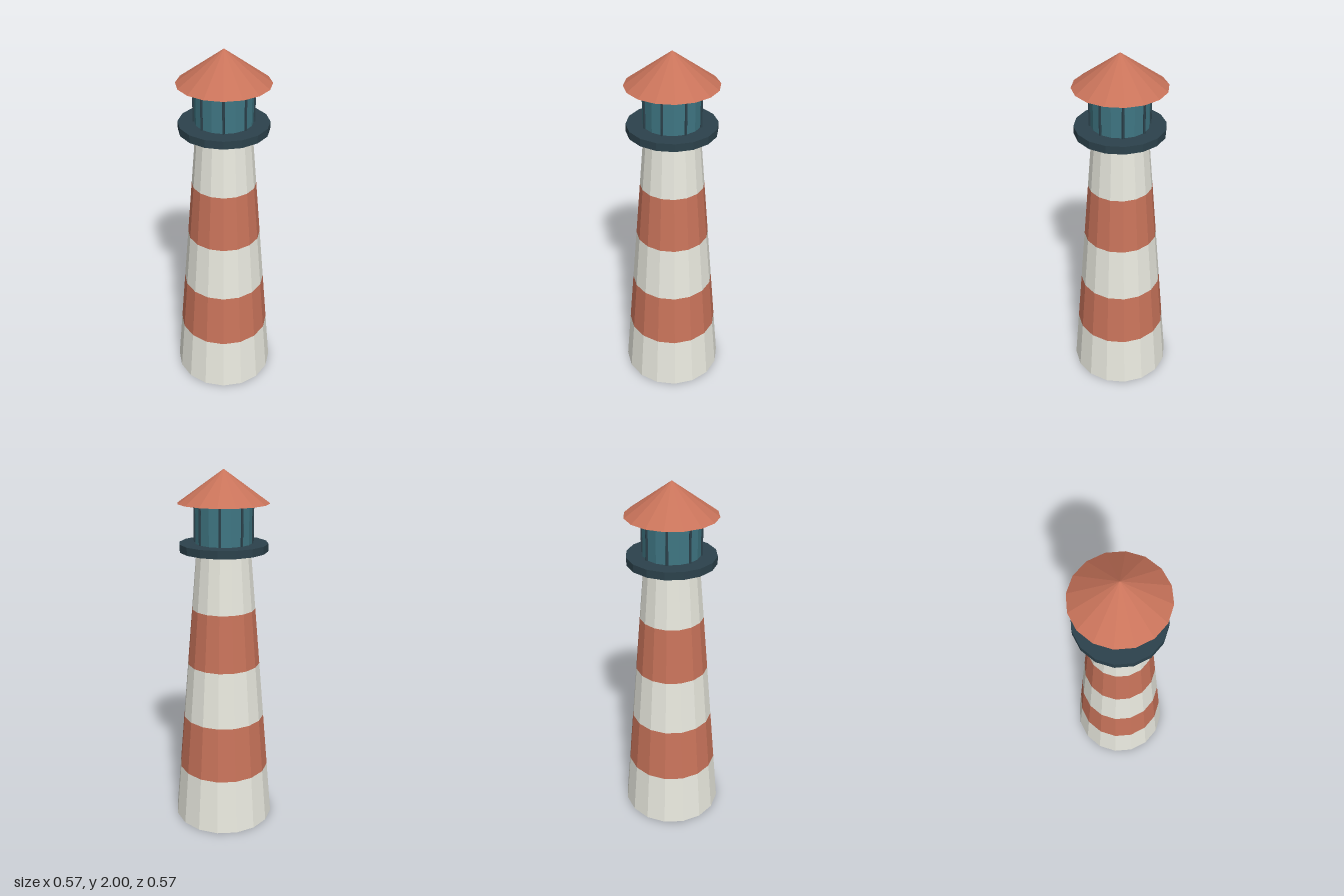
import * as THREE from 'three';

const SIDES = 16;
const paint = (color) => {
  const m = new THREE.MeshStandardMaterial({ flatShading: true });
  m.color.set(color);
  return m;
};

export function createModel() {
  const group = new THREE.Group();
  const white = paint(0xe8e8de);
  const red = paint(0xc8735a);
  const iron = paint(0x2c424c);
  const glass = paint(0x3f7683);

  const add = (name, geometry, material, x, y, z) => {
    const mesh = new THREE.Mesh(geometry, material);
    mesh.name = name;
    mesh.position.set(x, y, z);
    group.add(mesh);
  };

  // Tapered tower of five equal bands, white and red in turn
  const towerHeight = 1.58, bands = 5, bandHeight = towerHeight / bands;
  const radiusAt = (y) => THREE.MathUtils.lerp(0.285, 0.147, y / towerHeight);
  for (let i = 0; i < bands; i++) {
    const y = i * bandHeight;
    const open = i > 0; // only the foot needs a closed end
    add('towerBand' + (i + 1),
      new THREE.CylinderGeometry(radiusAt(y + bandHeight), radiusAt(y), bandHeight, SIDES, 1, open),
      i % 2 ? red : white, 0, y + bandHeight / 2, 0);
  }

  // Gallery deck
  add('gallery', new THREE.CylinderGeometry(0.238, 0.238, 0.042, SIDES), iron, 0, 1.6, 0);

  // Lantern room with eight slim posts
  const lanternBase = 1.62, lanternHeight = 0.208, lanternY = lanternBase + lanternHeight / 2;
  add('lanternGlass', new THREE.CylinderGeometry(0.152, 0.152, lanternHeight, SIDES), glass, 0, lanternY, 0);
  const postGeometry = new THREE.CylinderGeometry(0.007, 0.007, lanternHeight, 6);
  for (let i = 0; i < 8; i++) {
    const a = (i * Math.PI) / 4;
    add('lanternPost' + (i + 1), postGeometry, iron, Math.sin(a) * 0.154, lanternY, Math.cos(a) * 0.154);
  }

  // Conical roof
  add('roof', new THREE.ConeGeometry(0.243, 0.172, SIDES), red, 0, 1.914, 0);

  return group;
}
